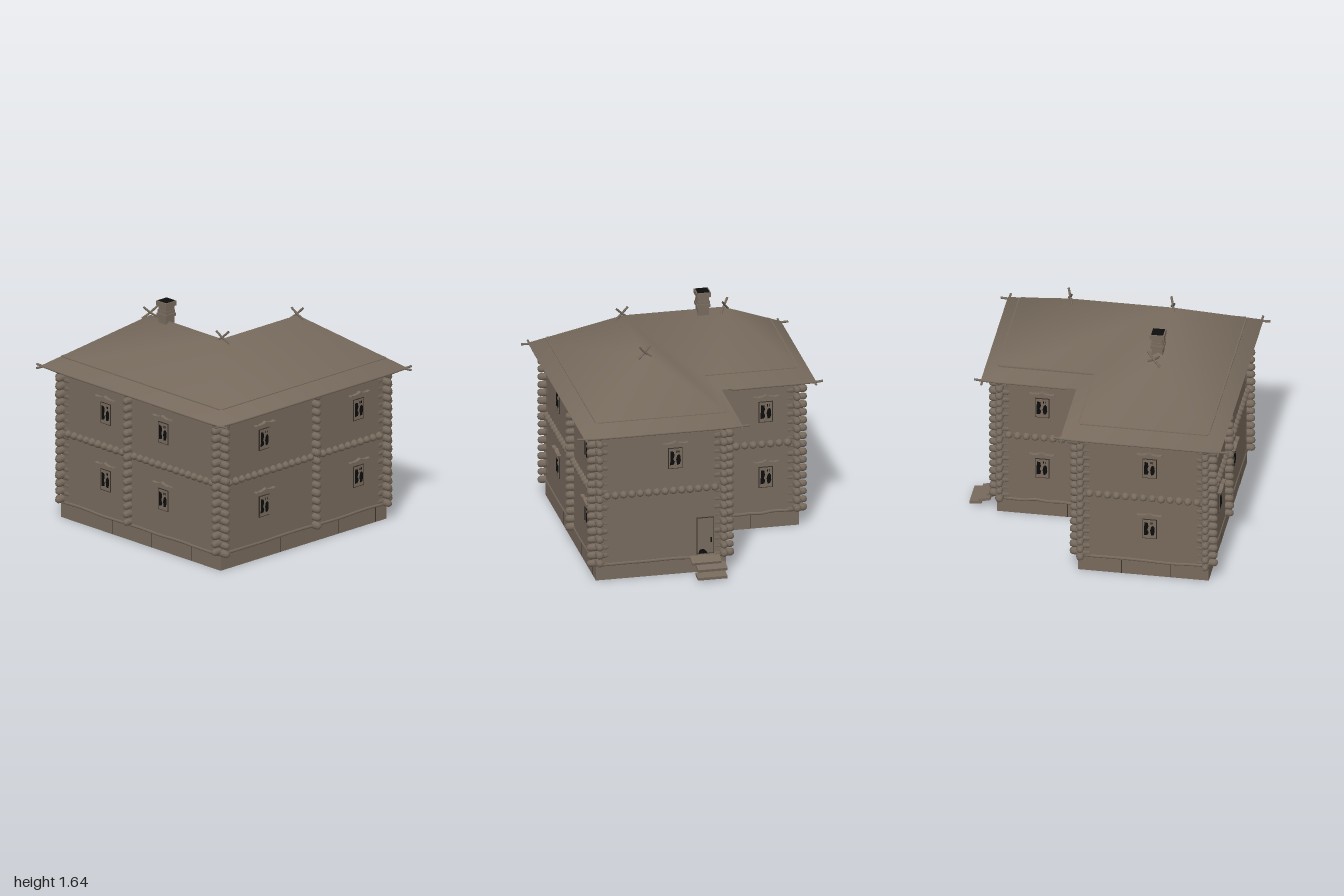
import * as THREE from 'three';
import { mergeGeometries } from 'three/addons/utils/BufferGeometryUtils.js';

const mat = (name, color, side = THREE.FrontSide) => {
  const m = new THREE.MeshStandardMaterial({ color, side });
  m.name = name;
  return m;
};

export function createModel() {
  const house = new THREE.Group();
  house.name = 'logHouse';
  const wood = mat('weatheredWood', 0x776a5d);
  const roofMat = mat('roofBoards', 0x776a5d, THREE.DoubleSide);
  const outline = mat('darkWood', 0x3a322b);
  const black = mat('blackOpening', 0x0c0c0c);

  let seed = 7;
  const rnd = () => (seed = (seed * 16807) % 2147483647) / 2147483647;

  const add = (parent, name, geo, material, x = 0, y = 0, z = 0) => {
    const m = new THREE.Mesh(geo, material);
    m.name = name;
    m.position.set(x, y, z);
    parent.add(m);
    return m;
  };
  const box = (parent, name, material, w, h, d, x, y, z) =>
    add(parent, name, new THREE.BoxGeometry(w, h, d), material, x, y, z);
  // Slightly uneven pole through a few points
  const pole = (parent, name, pts, r) => {
    const curve = new THREE.CatmullRomCurve3(pts.map(p => new THREE.Vector3(...p)));
    const g = new THREE.TubeGeometry(curve, Math.max(2, pts.length * 2), r, 6);
    return add(parent, name, g, roofMat);
  };
  const plate = (pts, depth) => {
    const s = new THREE.Shape(pts.map(p => new THREE.Vector2(...p)));
    return new THREE.ExtrudeGeometry(s, { depth, bevelEnabled: false }).translate(0, 0, -depth / 2);
  };

  // Window: frame and panes go through the wall so both faces show
  const paneLeft = plate([[-0.038, -0.05], [-0.012, -0.045], [-0.005, -0.025], [-0.016, -0.005],
    [-0.007, 0.02], [-0.012, 0.05], [-0.036, 0.055]], 0.062);
  const paneRight = plate([[0.012, -0.05], [0.03, -0.046], [0.038, -0.02], [0.036, 0.015],
    [0.026, 0.03], [0.012, 0.02], [0.005, -0.01]], 0.062);
  const cornice = plate([[-0.095, -0.006], [-0.075, -0.012], [0.075, -0.012], [0.095, -0.006],
    [0.09, 0.003], [0.06, -0.002], [0.02, 0.004], [0, 0.016], [-0.02, 0.004], [-0.06, -0.002], [-0.09, 0.003]], 0.04);
  const addWindow = (wall, u, y, d) => {
    const w = new THREE.Group();
    w.name = 'window';
    w.position.set(u, y, d);
    box(w, 'windowOutline', outline, 0.102, 0.157, 0.054, 0, 0, 0);
    box(w, 'windowBoard', wood, 0.091, 0.146, 0.058, 0, 0, 0);
    add(w, 'paneLeft', paneLeft, black);
    add(w, 'paneRight', paneRight, black);
    for (const x of [0.01, 0.024]) box(w, 'paneSlot', black, 0.006, 0.016, 0.062, x, 0.05, 0);
    add(w, 'cornice', cornice, wood, 0, 0.12, 0.03);
    wall.add(w);
  };

  // Walls: turn, distance from centre, span and window positions along the wall
  const H = Math.PI / 2;
  const walls = [
    { name: 'frontWall', rot: 0, d: 0.775, a: -0.8, b: 0.78, low: [-0.4, 0.52], high: [-0.4, 0.52], seams: [-0.24, 0.33, 0.69] },
    { name: 'doorWall', rot: H, d: 0.78, a: -0.775, b: 0.12, low: [], high: [-0.225], seams: [] },
    { name: 'innerBackWall', rot: 2 * H, d: 0.12, a: -0.78, b: -0.09, low: [-0.48], high: [-0.48], seams: [-0.3] },
    { name: 'innerSideWall', rot: H, d: 0.09, a: 0.12, b: 0.8, low: [0.58], high: [0.58], seams: [0.47] },
    { name: 'backWall', rot: 2 * H, d: 0.8, a: -0.09, b: 0.8, low: [0.4], high: [0.4], seams: [0.2, 0.55] },
    { name: 'leftWall', rot: -H, d: 0.8, a: -0.8, b: 0.775, low: [-0.36, 0.22], high: [-0.36, 0.22], seams: [-0.3, 0.1, 0.5] },
  ];
  const wallGroups = {};
  for (const { name, rot, d, a, b, low, high, seams } of walls) {
    const g = wallGroups[name] = new THREE.Group();
    g.name = name;
    g.rotation.y = rot;
    house.add(g);
    const len = b - a, mid = (a + b) / 2;
    box(g, 'wallPanel', wood, len + 0.02, 1.08, 0.044, mid, 0.655, d);
    box(g, 'foundation', wood, len + 0.036, 0.12, 0.02, mid, 0.06, d + 0.01);
    for (const u of seams) box(g, 'foundationSeam', outline, 0.005, 0.105, 0.004, u, 0.055, d + 0.02);
    low.forEach(u => addWindow(g, u, 0.385, d));
    high.forEach(u => addWindow(g, u, 0.88, d));
    // Row of rounded joist ends
    const n = Math.round(len / 0.0615), beads = [];
    for (let i = 1; i < n; i++)
      beads.push(new THREE.SphereGeometry(0.031 + rnd() * 0.003, 8, 6).rotateX(H).scale(1, 1, 1.7)
        .translate(a + len * i / n, 0.635, d));
    add(g, 'joistEnds', mergeGeometries(beads), wood);
    // Uneven sill and top logs
    for (const y of [0.117, 1.105]) {
      const pts = [];
      for (let i = 0; i <= 8; i++) pts.push([a + len * i / 8, y + (rnd() - 0.5) * 0.012, d + 0.018]);
      pole(g, y < 0.5 ? 'sillLog' : 'topLog', pts, 0.012);
    }
  }

  // Stacked log ends at the corners and wall crossings
  const stacks = [[-0.8, 0.775, 'xz'], [0.78, 0.775, 'xz'], [0.78, -0.12, 'xz'], [0.09, -0.12, 'xz'],
    [0.09, -0.8, 'xz'], [-0.8, -0.8, 'xz'], [0.09, 0.775, 'z'], [-0.8, -0.12, 'x']];
  for (const [x, z, dirs] of stacks) {
    const logs = [];
    for (const dir of dirs) for (let i = 0; i < 17; i++) {
      const r = 0.025 + rnd() * 0.005;
      const g = new THREE.CapsuleGeometry(r, 0.162 - 1.2 * r + rnd() * 0.006, 2, 8);
      g.scale(1, 0.88, 1);
      if (dir === 'x') g.rotateZ(H); else g.rotateX(H);
      logs.push(g.translate(x, 0.125 + i * 0.06 + (dir === 'x' ? 0.015 : 0), z));
    }
    add(house, 'cornerLogs', mergeGeometries(logs), wood);
  }

  // Door
  const dw = wallGroups.doorWall, dx = 0.78;
  box(dw, 'doorOutline', outline, 0.126, 0.276, 0.054, -0.01, 0.274, dx);
  box(dw, 'door', wood, 0.115, 0.265, 0.058, -0.01, 0.274, dx);
  box(dw, 'doorHandle', black, 0.009, 0.038, 0.064, 0.033, 0.24, dx);
  add(dw, 'doorGap', plate([[-0.06, 0.143], [0.005, 0.143], [-0.005, 0.16], [-0.025, 0.175], [-0.05, 0.17]], 0.062), black, 0, 0, dx);

  // Tilted plank steps on two stringers
  [[0.84, 0.105, 0.015], [0.895, 0.07, -0.015], [0.96, 0.032, 0]].forEach(([x, y, z], i) => {
    const s = box(house, 'step', wood, 0.085, 0.02, 0.212, x, y, z);
    s.rotation.z = [-0.3, -0.25, -0.12][i];
  });
  for (const z of [-0.06, 0.06])
    box(house, 'stairStringer', wood, 0.17, 0.02, 0.02, 0.875, 0.062, z).rotation.z = -0.5;

  // Hipped L-shaped roof: six eave corners, then three ridge points
  const e = 1.12, r = 1.5;
  const eave = [[-0.92, 0.9], [0.9, 0.9], [0.9, -0.24], [0.22, -0.24], [0.22, -0.92], [-0.92, -0.92]];
  const ridge = [[-0.37, 0.34], [0.37, 0.34], [-0.37, -0.38]];
  const roof = new THREE.BufferGeometry();
  roof.setAttribute('position', new THREE.Float32BufferAttribute(
    [...eave.map(([x, z]) => [x, e, z]), ...ridge.map(([x, z]) => [x, r, z])].flat(), 3));
  roof.setIndex([0, 1, 7, 0, 7, 6, 1, 2, 7, 2, 3, 6, 2, 6, 7, 3, 4, 8, 3, 8, 6, 4, 5, 8, 5, 0, 6, 5, 6, 8]);
  roof.computeVertexNormals();
  add(house, 'roof', roof, roofMat);

  // Eave poles, with ends sticking out past the outer corners
  const inset = 0.012;
  eave.forEach(([x, z], i) => {
    const [x2, z2] = eave[(i + 1) % 6];
    const dxn = Math.sign(x2 - x), dzn = Math.sign(z2 - z);
    const ox = dzn * inset, oz = -dxn * inset;
    const s = i === 3 ? -0.05 : 0.05, t = i === 2 ? -0.05 : 0.05;
    pole(house, 'eavePole', [
      [x - dxn * s + ox, e - 0.002, z - dzn * s + oz],
      [x + dxn * 0.03 + ox, e - 0.008, z + dzn * 0.03 + oz],
      [(x + x2) / 2 + ox, e - 0.01, (z + z2) / 2 + oz],
      [x2 - dxn * 0.03 + ox, e - 0.008, z2 - dzn * 0.03 + oz],
      [x2 + dxn * t + ox, e - 0.002, z2 + dzn * t + oz]], 0.008);
  });

  // Crossed sticks at the ridge ends
  const cross = (x, z, ax, az) => {
    pole(house, 'ridgeStick', [[x - ax, 1.47, z - az], [x, 1.51, z], [x + ax, 1.56, z + az]], 0.008);
    pole(house, 'ridgeStick', [[x + ax, 1.475, z + az + 0.01], [x, 1.51, z + 0.01], [x - ax * 0.8, 1.555, z - az * 0.8]], 0.008);
  };
  cross(-0.37, 0.34, 0.02, 0.05);
  cross(0.36, 0.34, 0.02, 0.045);
  cross(-0.36, -0.395, 0.05, 0.03);

  // Chimney
  const chimney = new THREE.Group();
  chimney.name = 'chimney';
  chimney.position.set(-0.36, 0, -0.23);
  house.add(chimney);
  box(chimney, 'shaft', wood, 0.08, 0.24, 0.08, 0, 1.5, 0);
  box(chimney, 'lowerBand', wood, 0.096, 0.022, 0.096, 0, 1.54, 0);
  box(chimney, 'neck', wood, 0.088, 0.02, 0.088, 0, 1.565, 0);
  box(chimney, 'cap', wood, 0.102, 0.034, 0.102, 0, 1.623, 0);
  box(chimney, 'flue', black, 0.084, 0.004, 0.084, 0, 1.641, 0);

  return house;
}
